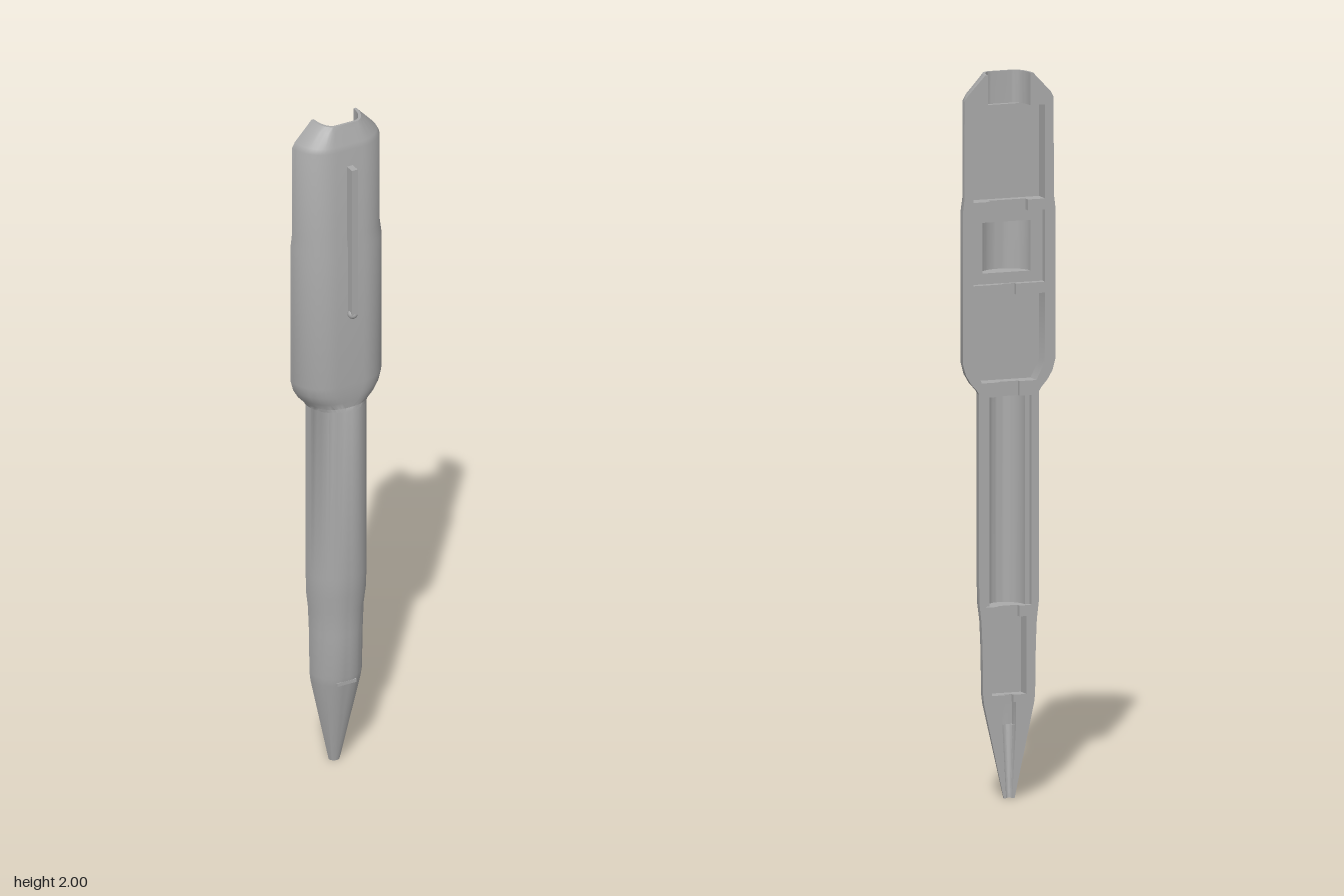
import * as THREE from 'three';
import { toCreasedNormals } from 'three/addons/utils/BufferGeometryUtils.js';

const BACK = -0.06; // plane of the open back
const N = 12;       // segments per quarter curve

// Section: [y, halfWidth, depth, flatHalfWidth, grooveHalfWidth, grooveDepth]
// Outside of the casing, bottom to top
const outer = [
  [0, 0.016, 0.016, 0], [0.26, 0.073, 0.07, 0.008], [0.285, 0.076, 0.075, 0.008],
  [0.42, 0.078, 0.08, 0.005], [0.49, 0.081, 0.082, 0.005], [0.54, 0.087, 0.088, 0.005],
  [0.6, 0.088, 0.091, 0.005], [1.12, 0.088, 0.092, 0.005], [1.13, 0.094, 0.088, 0.01],
  [1.15, 0.112, 0.091, 0.025], [1.175, 0.127, 0.094, 0.035], [1.205, 0.135, 0.095, 0.04],
  [1.62, 0.136, 0.095, 0.04], [1.66, 0.131, 0.089, 0.04], [1.93, 0.13, 0.088, 0.04],
  [1.945, 0.122, 0.084, 0.04], [1.985, 0.084, 0.071, 0.035], [2, 0.07, 0.067, 0.032],
];

// A stretch of cavity with one constant section
const cell = (y0, y1, ...s) => [[y0, ...s], [y1, ...s]];
const box = (y0, y1, w, d) => cell(y0, y1, w, d, w);

// Inside of the casing, bottom to top: pockets separated by notched ribs
const cavity = [
  [0, 0.009, 0.009, 0], [0.2, 0.02, 0.03, 0],
  ...box(0.2, 0.265, 0.02, 0.03),
  ...box(0.265, 0.285, 0.012, 0.012),
  ...box(0.285, 0.5, 0.05, 0.04),
  ...box(0.5, 0.53, 0.03, 0.015),
  ...cell(0.53, 1.11, 0.066, 0.015, 0.066, 0.052, 0.06),
  ...box(1.11, 1.15, 0.03, 0.01),
  [1.15, 0.08, 0.045, 0.08], [1.2, 0.105, 0.045, 0.105], [1.39, 0.105, 0.045, 0.105],
  ...box(1.39, 1.42, 0.02, 0.01),
  ...box(1.42, 1.45, 0.105, 0.02),
  ...cell(1.45, 1.59, 0.105, 0.02, 0.105, 0.07, 0.06),
  ...box(1.59, 1.62, 0.105, 0.02),
  ...box(1.62, 1.65, 0.055, 0.02),
  ...box(1.65, 1.91, 0.105, 0.045),
  ...cell(1.91, 2, 0.062, 0.06, 0.03),
];

// Points of one section, from +x around the front to -x
function profile([y, w, d, f = 0, g = 0, gd = 0]) {
  const half = [];
  for (let i = 0; i <= N; i++) {
    const a = (i / N) * Math.PI / 2;
    half.push([f + (w - f) * Math.cos(a), d * Math.sin(a)]);
  }
  for (let i = 0; i <= N; i++) {
    const a = (i / N) * Math.PI / 2;
    half.push([g * Math.cos(a), d + gd * Math.sin(a)]);
  }
  const all = [...half, ...half.slice(0, -1).reverse().map(([x, z]) => [-x, z])];
  return all.map(([x, z]) => new THREE.Vector3(x, y, BACK + z));
}

// Skin through consecutive sections
function loft(sections) {
  const rows = sections.map(profile);
  const pos = [];
  const tri = (a, b, c) => {
    if (new THREE.Triangle(a, b, c).getArea() > 1e-9) {
      for (const p of [a, b, c]) pos.push(p.x, p.y, p.z);
    }
  };
  for (let j = 0; j < rows.length - 1; j++) {
    const lo = rows[j], hi = rows[j + 1];
    for (let i = 0; i < lo.length - 1; i++) {
      tri(lo[i], hi[i], lo[i + 1]);
      tri(lo[i + 1], hi[i], hi[i + 1]);
    }
  }
  const geo = new THREE.BufferGeometry();
  geo.setAttribute('position', new THREE.Float32BufferAttribute(pos, 3));
  return toCreasedNormals(geo, 0.5);
}

export function createModel() {
  const group = new THREE.Group();
  const grey = new THREE.MeshStandardMaterial({ color: 0xaaaaaa });
  grey.name = 'plain grey';
  const add = (name, geo, x = 0, y = 0, z = 0) => {
    const mesh = new THREE.Mesh(geo, grey);
    mesh.name = name;
    mesh.position.set(x, y, z);
    group.add(mesh);
    return mesh;
  };

  // Shell: up the outside, over the top lip, down the inside, round the tip lip
  const ring = [...outer, ...[...cavity].reverse()];
  add('casingShell', loft([...ring, outer[0]]));

  // Flat rim on the back, one half per side
  for (const side of [1, -1]) {
    const pts = ring
      .map(([y, w]) => new THREE.Vector2(side * w, y))
      .filter((p, i, a) => i === 0 || !p.equals(a[i - 1]));
    const rim = new THREE.ShapeGeometry(new THREE.Shape(pts));
    rim.rotateY(Math.PI);
    add(side > 0 ? 'rightRim' : 'leftRim', rim, 0, 0, BACK);
  }

  // Clip along the front with a rounded end
  add('clipBar', new THREE.BoxGeometry(0.018, 0.45, 0.034), 0, 1.655, 0.04);
  add('clipEnd', new THREE.SphereGeometry(0.014, 20, 14), 0, 1.428, 0.044);

  // Small ledge above the tip
  add('tipLedge', new THREE.BoxGeometry(0.06, 0.01, 0.012), 0, 0.267, 0.007);

  return group;
}
